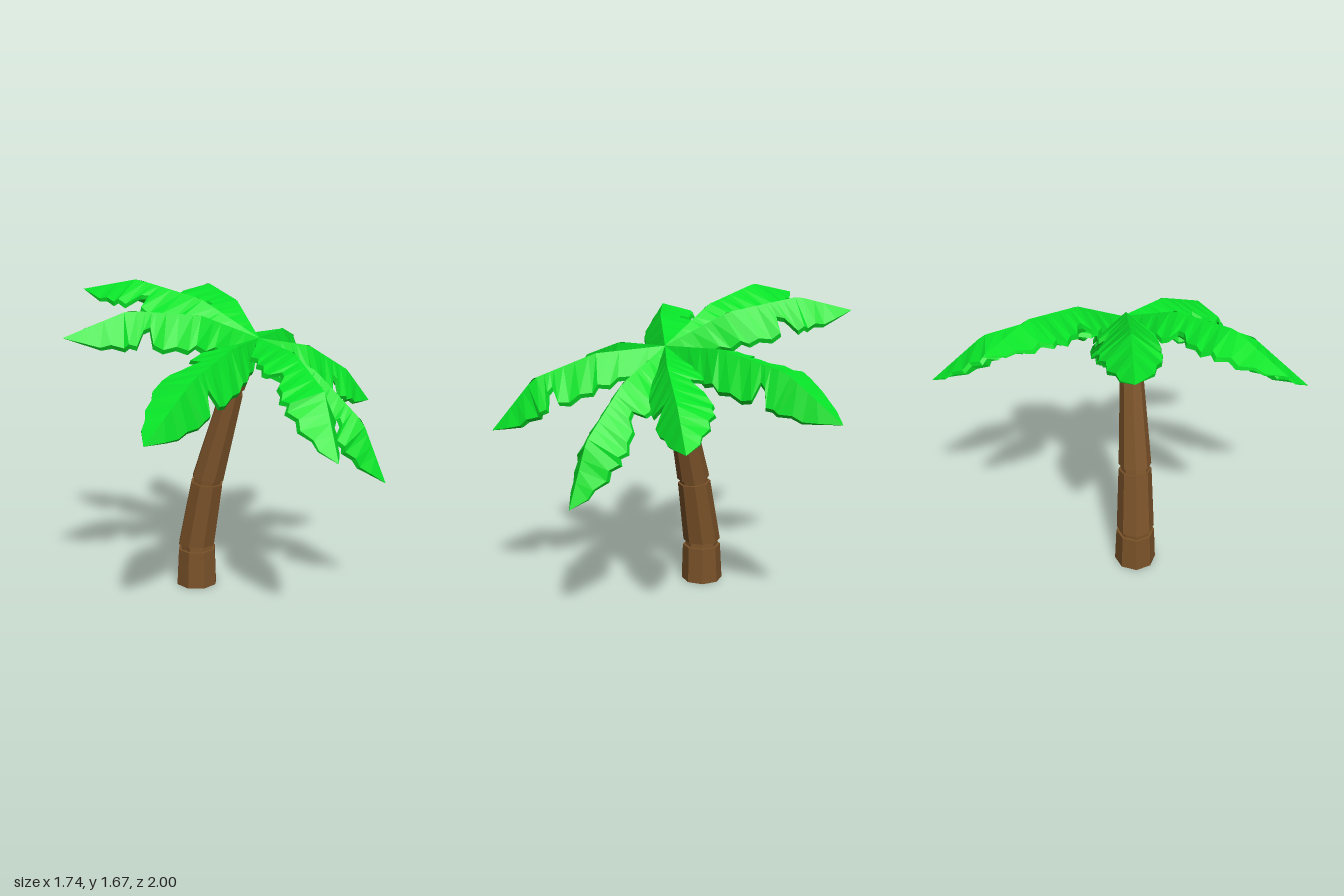
import * as THREE from 'three';

const V = (x, y, z) => new THREE.Vector3(x, y, z);
const CROWN = V(0.18, 1.385, 0.01);
const CROWN_UP = V(0.485, 0.875, 0).normalize(); // crown leans toward +x

// [distance along the spine, fraction of full blade width]
const EDGE_EARLY_NOTCH = [[0, 0.15], [0.06, 0.3], [0.13, 0.68], [0.2, 0.7], [0.23, 0.82], [0.3, 0.86],
  [0.35, 0.95], [0.4, 0.92], [0.42, 0.55], [0.46, 0.62], [0.5, 0.84], [0.56, 0.92], [0.6, 1], [0.66, 0.92],
  [0.7, 0.96], [0.76, 0.76], [0.81, 0.74], [0.87, 0.5], [0.92, 0.4], [1, 0]];
const EDGE_LATE_NOTCH = [[0, 0.15], [0.08, 0.35], [0.15, 0.7], [0.22, 0.74], [0.26, 0.88], [0.33, 0.88],
  [0.37, 0.98], [0.44, 0.95], [0.5, 1], [0.55, 0.95], [0.57, 0.42], [0.6, 0.55], [0.64, 0.95], [0.7, 0.92],
  [0.74, 0.88], [0.8, 0.7], [0.85, 0.62], [0.91, 0.4], [1, 0]];

// One half of a frond: a thin solid strip hanging from the spine
function halfBlade(spine, edge, side) {
  const pos = [], idx = [];
  edge.forEach(([t, w], i) => {
    const p = spine.getPointAt(t);
    const T = spine.getPointAt(Math.min(1, t + 0.08)).sub(spine.getPointAt(Math.max(0, t - 0.08))).normalize();
    const U = CROWN_UP.clone().addScaledVector(T, -CROWN_UP.dot(T)).normalize();
    const S = T.clone().cross(U).multiplyScalar(side);
    const pleat = (i % 2 ? 0.007 : -0.007) * w;
    const drop = 0.14 - 0.04 * t;
    const rim = p.clone().addScaledVector(S, 0.15 * w).addScaledVector(U, -drop * w + pleat)
      .addScaledVector(T, 0.03 * w);
    const down = U.clone().multiplyScalar(-0.024 * Math.min(1, (1 - t) * 5));
    for (const q of [p, rim, rim.clone().add(down), p.clone().add(down)]) pos.push(q.x, q.y, q.z);
  });
  for (let i = 0; i < edge.length - 1; i++) {
    for (let k = 0; k < 3; k++) {
      const a = i * 4 + k, b = a + 1, c = b + 4, d = a + 4;
      if (side > 0) idx.push(a, b, c, a, c, d);
      else idx.push(a, c, b, a, d, c);
    }
  }
  const g = new THREE.BufferGeometry();
  g.setAttribute('position', new THREE.Float32BufferAttribute(pos, 3));
  g.setIndex(idx);
  const flat = g.toNonIndexed();
  flat.computeVertexNormals();
  return flat;
}

function makeFrond(shoulder, tip, earlySide, material) {
  const frond = new THREE.Group();
  frond.name = 'frond';
  const mid = CROWN.clone().lerp(shoulder, 0.5).addScaledVector(CROWN_UP, 0.055);
  const spine = new THREE.CurvePath();
  const pts = [CROWN, mid, shoulder, tip];
  for (let i = 0; i < 3; i++) spine.add(new THREE.LineCurve3(pts[i], pts[i + 1]));
  for (const side of [1, -1]) {
    const edge = side === earlySide ? EDGE_EARLY_NOTCH : EDGE_LATE_NOTCH;
    const half = new THREE.Mesh(halfBlade(spine, edge, side), material);
    half.name = side > 0 ? 'frondRightHalf' : 'frondLeftHalf';
    frond.add(half);
  }
  return frond;
}

// Eight-sided section between two rings, each { c: centre, r: radius, tilt: lean about z }
function section(name, bottom, top, material) {
  const g = new THREE.CylinderGeometry(1, 1, 2, 8);
  const p = g.attributes.position, v = V(0, 0, 0), zAxis = V(0, 0, 1);
  for (let i = 0; i < p.count; i++) {
    const ring = p.getY(i) > 0 ? top : bottom;
    v.set(p.getX(i) * ring.r, 0, p.getZ(i) * ring.r).applyAxisAngle(zAxis, ring.tilt).add(ring.c);
    p.setXYZ(i, v.x, v.y, v.z);
  }
  g.computeVertexNormals();
  const mesh = new THREE.Mesh(g, material);
  mesh.name = name;
  return mesh;
}

export function createModel() {
  const model = new THREE.Group();
  model.name = 'palmTree';
  const bark = new THREE.MeshStandardMaterial({ color: 0x7a5229, flatShading: true });
  const green = new THREE.MeshStandardMaterial({ color: 0x08e428, flatShading: true, side: THREE.DoubleSide });

  // Trunk: stacked sections joined by narrow necks
  const trunk = new THREE.Group();
  trunk.name = 'trunk';
  const ring = (x, y, z, r, tilt) => ({ c: V(x, y, z), r, tilt });
  const neck = ({ c, r, tilt }) => ({ c, r: r * 0.86, tilt });
  const parts = [
    [ring(-0.163, 0, 0.062, 0.116, 0), ring(-0.16, 0.205, 0.062, 0.107, 0)],
    [ring(-0.162, 0.235, 0.062, 0.105, -0.02), ring(-0.097, 0.592, 0.062, 0.091, -0.1)],
    [ring(-0.09, 0.62, 0.062, 0.09, -0.13), ring(0.045, 1.1, 0.05, 0.063, -0.25)],
    [ring(0.052, 1.125, 0.048, 0.063, -0.25), ring(0.145, 1.35, 0.025, 0.05, -0.4)],
  ];
  parts.forEach(([bottom, top], i) => {
    trunk.add(section('trunkSection', bottom, top, bark));
    if (i) trunk.add(section('trunkNeck', neck(parts[i - 1][1]), neck(bottom), bark));
  });
  model.add(trunk);

  // Crown: eight drooping fronds: shoulder, tip, side of the early notch
  const crown = new THREE.Group();
  crown.name = 'crown';
  const fronds = [
    [V(-0.53, 1.67, 0.005), V(-0.87, 1.61, 0), 1],
    [V(-0.31, 1.63, -0.46), V(-0.52, 1.56, -0.65), -1],
    [V(0.13, 1.32, -0.72), V(0.06, 1.1, -1), -1],
    [V(0.54, 1.18, -0.42), V(0.635, 0.99, -0.565), -1],
    [V(0.74, 0.98, -0.01), V(0.865, 0.67, -0.02), -1],
    [V(0.67, 1.22, 0.48), V(0.8, 0.94, 0.675), 1],
    [V(0.12, 1.27, 0.7), V(0.02, 1.02, 1), 1],
    [V(-0.31, 1.55, 0.51), V(-0.55, 1.43, 0.72), 1],
  ];
  for (const [shoulder, tip, earlySide] of fronds) crown.add(makeFrond(shoulder, tip, earlySide, green));
  model.add(crown);
  return model;
}
